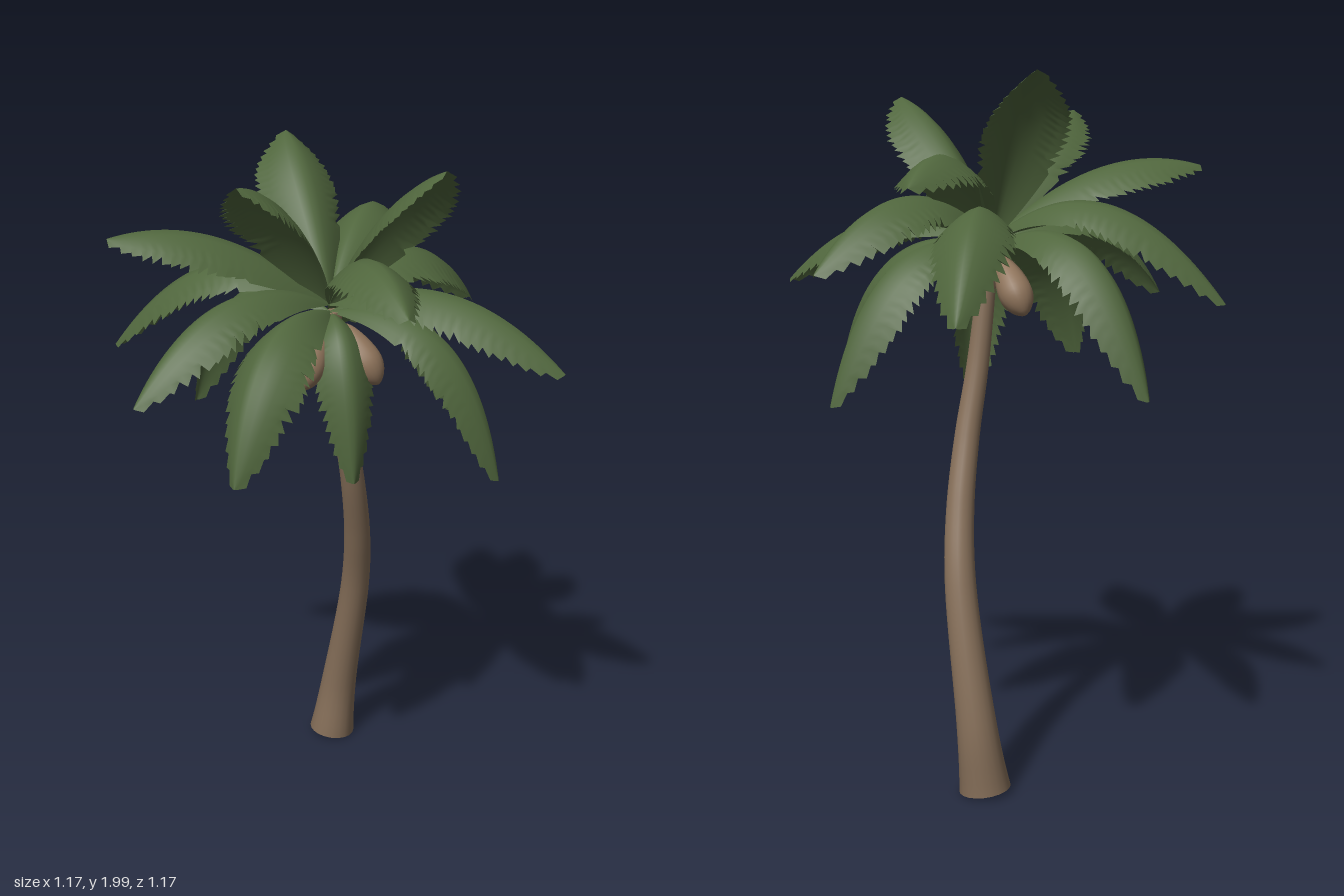
import * as THREE from 'three';

const mat = (name, color, side = THREE.FrontSide) => {
  const m = new THREE.MeshStandardMaterial({ color, side });
  m.name = name;
  return m;
};

// Small seeded generator for the ragged leaf edges
function seeded(seed) {
  let s = seed * 7919 + 17;
  return () => (s = (s * 16807) % 2147483647) / 2147483647;
}

// Arching leaf: a grid swept along a bezier spine, sides folded down, outer edges ragged
function frondGeometry(origin, tip, midY, reach, halfWidth, seed) {
  const rows = 44, cols = 8, rand = seeded(seed);
  const mid = origin.clone().lerp(tip, reach).setY(midY);
  const control = mid.clone().multiplyScalar(2)
    .addScaledVector(origin, -0.5).addScaledVector(tip, -0.5);
  const spine = new THREE.QuadraticBezierCurve3(origin, control, tip);
  const side = new THREE.Vector3(tip.z - origin.z, 0, origin.x - tip.x).normalize();
  const pos = [], index = [];
  for (let i = 0; i <= rows; i++) {
    const t = i / rows;
    const p = spine.getPoint(t), tangent = spine.getTangent(t);
    const normal = tangent.clone().cross(side).normalize();
    const w = halfWidth * Math.max(0.05, Math.pow(Math.max(0, Math.sin(Math.PI * Math.pow(t, 1.2))), 0.62));
    for (let j = 0; j <= cols; j++) {
      const s = (j / cols) * 2 - 1;
      const tooth = (j === 0 || j === cols) && t > 0.35 && i < rows;
      const k = tooth ? (i % 2 ? 1 + 0.06 * rand() : 0.97 - 0.17 * rand()) : 1;
      const v = p.clone()
        .addScaledVector(side, s * w * k)
        .addScaledVector(normal, -0.72 * w * k * Math.pow(Math.abs(s), 1.5));
      if (tooth && i % 2) v.addScaledVector(tangent, 0.016);
      pos.push(v.x, v.y, v.z);
      if (i < rows && j < cols) {
        const a = i * (cols + 1) + j, b = a + cols + 1;
        index.push(a, b, a + 1, a + 1, b, b + 1);
      }
    }
  }
  const g = new THREE.BufferGeometry();
  g.setAttribute('position', new THREE.Float32BufferAttribute(pos, 3));
  g.setIndex(index);
  g.computeVertexNormals();
  return g;
}

// Curved trunk: a tube whose rings are rescaled to taper upward
function buildTrunk(material) {
  const group = new THREE.Group();
  group.name = 'trunk';
  const curve = new THREE.CatmullRomCurve3([
    [0.12, 0.018, -0.29], [0.141, 0.2, -0.28], [0.165, 0.6, -0.19], [0.148, 0.8, -0.125],
    [0.112, 1.0, -0.066], [0.072, 1.2, -0.035], [0.03, 1.54, -0.02],
  ].map((p) => new THREE.Vector3(...p)));
  const segs = 40, sides = 20;
  const radius = (t) => 0.026 + 0.03 * (1 - t) + 0.018 * Math.pow(1 - t, 10);
  const geo = new THREE.TubeGeometry(curve, segs, 1, sides);
  const pos = geo.attributes.position, v = new THREE.Vector3();
  for (let i = 0; i <= segs; i++) {
    const c = curve.getPointAt(i / segs);
    for (let j = 0; j <= sides; j++) {
      const n = i * (sides + 1) + j;
      v.fromBufferAttribute(pos, n).sub(c).multiplyScalar(radius(i / segs)).add(c);
      pos.setXYZ(n, v.x, v.y, v.z);
    }
  }
  const bark = new THREE.Mesh(geo, material);
  bark.name = 'bark';
  group.add(bark);
  // End discs
  for (const [t, dir, name] of [[0, -1, 'trunkBase'], [1, 1, 'trunkTop']]) {
    const cap = new THREE.Mesh(new THREE.CircleGeometry(radius(t), sides), material);
    cap.position.copy(curve.getPointAt(t));
    cap.quaternion.setFromUnitVectors(new THREE.Vector3(0, 0, 1), curve.getTangentAt(t).multiplyScalar(dir));
    cap.name = name;
    group.add(cap);
  }
  return group;
}

export function createModel() {
  const model = new THREE.Group();
  model.name = 'palmTree';
  const bark = mat('bark brown', 0x87705a);
  const husk = mat('husk brown', 0x8f745b);
  const leaf = mat('leaf green', 0x50663d, THREE.DoubleSide);

  model.add(buildTrunk(bark));

  // Fronds: tip x, y, z, height at the middle, horizontal reach of the middle, half width
  const fronds = [
    [0.27, 1.36, -0.58, 1.64, 0.52, 0.11],
    [0.37, 1.7, -0.5, 1.78, 0.52, 0.115],
    [-0.26, 1.15, -0.54, 1.54, 0.62, 0.11],
    [-0.53, 1.39, -0.41, 1.66, 0.5, 0.115],
    [-0.59, 1.77, -0.08, 1.76, 0.5, 0.12],
    [-0.59, 1.38, 0.22, 1.62, 0.54, 0.11],
    [-0.36, 1.18, 0.36, 1.52, 0.64, 0.115],
    [-0.31, 1.94, 0.25, 1.84, 0.5, 0.115],
    [0.03, 1.66, 0.59, 1.75, 0.5, 0.105],
    [0.2, 1.98, 0.39, 1.84, 0.5, 0.115],
    [0.55, 1.43, 0.42, 1.62, 0.52, 0.115],
    [0.58, 1.48, -0.31, 1.68, 0.52, 0.125],
    [0.52, 1.11, -0.15, 1.49, 0.62, 0.12],
    [0.01, 2.0, -0.41, 1.86, 0.5, 0.12],
    [0.03, 1.09, 0.19, 1.43, 0.76, 0.085],
    [0.42, 1.1, 0.31, 1.49, 0.66, 0.105],
  ];
  const crown = new THREE.Group();
  crown.name = 'crown';
  fronds.forEach(([x, y, z, midY, reach, w], i) => {
    const origin = new THREE.Vector3(0.025, y < 1.2 ? 1.54 : 1.56, -0.025);
    const mesh = new THREE.Mesh(
      frondGeometry(origin, new THREE.Vector3(x, y, z), midY, reach, w, i + 1), leaf);
    mesh.name = 'frond';
    crown.add(mesh);
  });
  model.add(crown);

  // Egg-shaped coconuts hanging outward under the crown
  const profile = [[0, -0.1], [0.014, -0.094], [0.032, -0.076], [0.045, -0.05], [0.049, -0.02],
    [0.043, 0.02], [0.031, 0.06], [0.016, 0.09], [0, 0.1]];
  const nutGeo = new THREE.LatheGeometry(
    new THREE.SplineCurve(profile.map((p) => new THREE.Vector2(...p))).getPoints(20)
      .map((p) => p.setX(Math.max(0, p.x))), 18);
  for (const [x, z] of [[-0.055, 0.06], [0.09, 0.06], [-0.01, -0.11]]) {
    const nut = new THREE.Mesh(nutGeo, husk);
    nut.name = 'coconut';
    nut.position.set(x, 1.43, z);
    nut.quaternion.setFromUnitVectors(new THREE.Vector3(0, 1, 0),
      new THREE.Vector3(0.025 - x, 0.13, -0.015 - z).normalize());
    model.add(nut);
  }
  return model;
}
